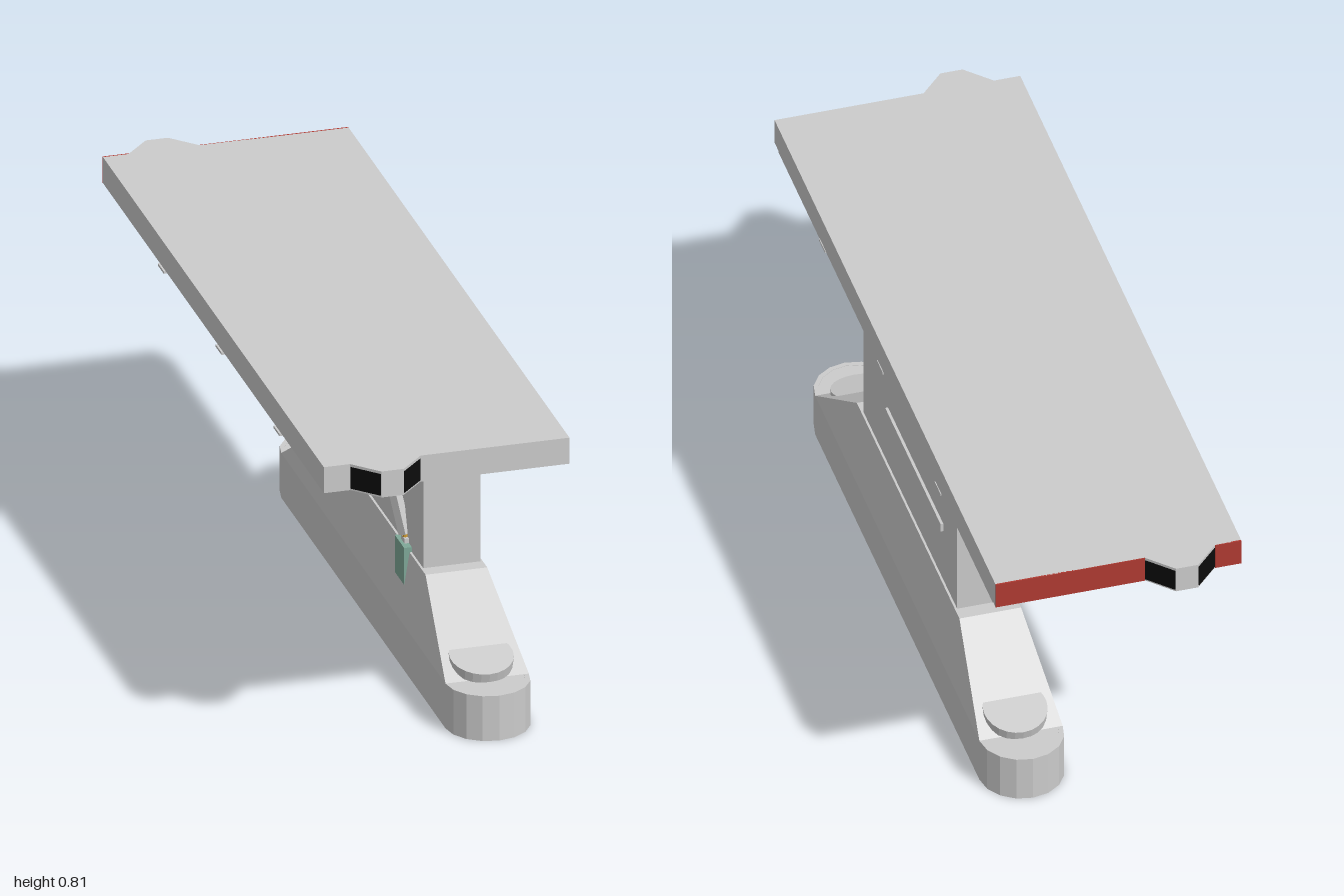
import * as THREE from 'three';

const mat = (color) => new THREE.MeshStandardMaterial({ color, flatShading: true, side: THREE.DoubleSide });
const grey = mat(0xcccccc), red = mat(0xb03a32), black = mat(0x0c0c0c);
const green = mat(0x7fa898), amber = mat(0xc8952f);

const CX = 0.158, CZ = 0.045; // centre of the pedestal

function add(parent, name, geometry, material = grey) {
  const mesh = new THREE.Mesh(geometry, material);
  mesh.name = name;
  parent.add(mesh);
  return mesh;
}

// Box given by its limits on each axis
function box(parent, name, [x0, x1], [y0, y1], [z0, z1], material) {
  const mesh = add(parent, name, new THREE.BoxGeometry(x1 - x0, y1 - y0, z1 - z0), material);
  mesh.position.set((x0 + x1) / 2, (y0 + y1) / 2, (z0 + z1) / 2);
  return mesh;
}

// Rounded-end outline: half width r, straight part reaching +-h
function stadium(Type, r, h, n = 8) {
  const pts = [];
  for (const s of [1, -1])
    for (let i = 0; i <= n; i++) {
      const a = (i / n) * Math.PI;
      pts.push(new THREE.Vector2(s * r * Math.cos(a), s * (h + r * Math.sin(a))));
    }
  return new Type(pts);
}

// Extrude a plan outline upwards
function slab(shape, height) {
  return new THREE.ExtrudeGeometry(shape, { depth: height, bevelEnabled: false }).rotateX(-Math.PI / 2);
}

function ring(r, inset, h, height) {
  const shape = stadium(THREE.Shape, r, h);
  shape.holes.push(stadium(THREE.Path, r - inset, h));
  return slab(shape, height);
}

function createPedestal() {
  const g = new THREE.Group();
  g.name = 'pedestal';
  g.position.set(CX, 0, CZ);

  // Hollow skirt with a lip along its foot and a closing plate
  add(g, 'baseSkirt', ring(0.1035, 0.012, 0.6965, 0.117));
  add(g, 'baseLip', ring(0.098, 0.028, 0.6965, 0.012)).position.y = 0.014;
  add(g, 'basePlate', slab(stadium(THREE.Shape, 0.1, 0.6965), 0.012)).position.y = 0.104;

  // Tapered body: top corners of a box pulled inwards
  const body = new THREE.BoxGeometry(0.207, 0.168, 1.393);
  const p = body.attributes.position;
  for (let i = 0; i < p.count; i++)
    if (p.getY(i) > 0) {
      p.setX(i, p.getX(i) * 0.74);
      p.setZ(i, p.getZ(i) * 0.625);
    }
  body.computeVertexNormals();
  add(g, 'baseBody', body).position.y = 0.201;

  // Tilted discs set into both slopes
  for (const s of [1, -1]) {
    const disc = add(g, 'slopeDisc', new THREE.CylinderGeometry(0.078, 0.078, 0.026, 24));
    disc.position.set(0, 0.147, s * 0.643);
    disc.rotation.x = s * 0.265;
  }

  // Column, side strips and mounting plates
  box(g, 'column', [-0.071, 0.071], [0.28, 0.733], [-0.397, 0.397]);
  for (const s of [1, -1]) {
    const strip = box(g, 'sideStrip', [-0.004, 0.004], [0.432, 0.454], [-0.28, 0.19]);
    strip.position.x = s * 0.074;
    const plate = box(g, 'mountingPlate', [-0.1035, 0.1035], [0.724, 0.732], [-0.1, 0.1]);
    plate.position.z = s * 0.33;
  }
  return g;
}

function createTop() {
  const g = new THREE.Group();
  g.name = 'top';
  const E = 0.9375;

  // Long slab with a tapered nose at both ends
  const half = [[-0.305, E], [-0.24, E], [-0.18, 1], [-0.125, 1], [-0.065, E], [0.305, E]];
  const outline = [...half, ...half.map(([x, z]) => [x, -z]).reverse()];
  const shape = new THREE.Shape(outline.map(([x, z]) => new THREE.Vector2(x, z)));
  add(g, 'topSlab', slab(shape, 0.068)).position.y = 0.745;

  // Dark panels on the slanted nose faces
  for (const s of [1, -1])
    for (const [x, side] of [[-0.21, -1], [-0.095, 1]]) {
      const panel = add(g, 'nosePanel', new THREE.BoxGeometry(0.082, 0.056, 0.003), black);
      panel.position.set(x, 0.778, s * 0.969);
      panel.rotation.y = s * side * Math.atan2(0.0625, 0.06);
    }

  // Red facing on the back end
  for (const x of [[-0.305, -0.24], [-0.065, 0.305]])
    box(g, 'endFacing', x, [0.745, 0.813], [-E - 0.002, -E + 0.002], red);

  // Lengthwise rails and the thin cross bars below them
  for (const x of [[0.12, 0.195], [0.015, 0.026], [0.293, 0.303]])
    box(g, 'rail', x, [0.735, 0.746], [-0.91, 0.91]);
  for (const z of [-0.445, 0.045, 0.535])
    box(g, 'crossBar', [-0.305, 0.305], [0.731, 0.737], [z - 0.025, z + 0.025]);
  return g;
}

function createBrace() {
  const g = new THREE.Group();
  g.name = 'brace';
  // Slanted strut under the overhang
  const a = new THREE.Vector3(0.011, 0.733, 0.2), b = new THREE.Vector3(0.083, 0.315, 0.3);
  const strut = add(g, 'strut', new THREE.BoxGeometry(0.022, 0.022, a.distanceTo(b)));
  strut.position.copy(a).lerp(b, 0.5);
  strut.lookAt(b);

  // Control housing with its pin, and the unit inside the base
  box(g, 'housing', [0.068, 0.115], [0.2, 0.298], [0.265, 0.345], green);
  box(g, 'pinCollar', [0.076, 0.088], [0.298, 0.31], [0.29, 0.32]);
  const pin = add(g, 'pin', new THREE.CylinderGeometry(0.004, 0.007, 0.018, 8), amber);
  pin.position.set(0.082, 0.318, 0.305);
  box(g, 'innerUnit', [0.11, 0.2], [0.07, 0.105], [0, 0.4], green);
  return g;
}

export function createModel() {
  const model = new THREE.Group();
  model.name = 'pedestalTable';
  model.add(createPedestal(), createTop(), createBrace());
  return model;
}
